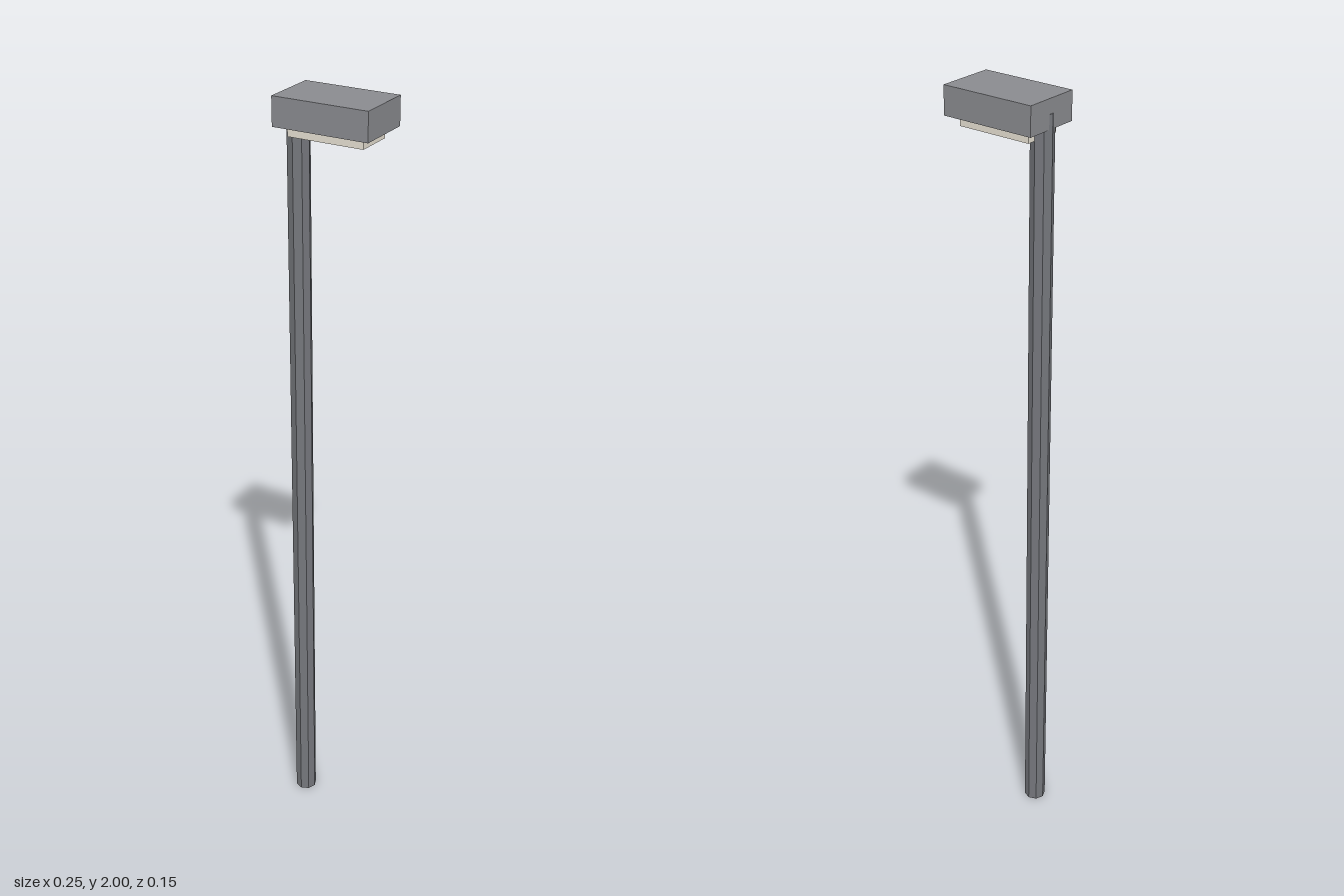
import * as THREE from 'three';

export function createModel() {
  const lamp = new THREE.Group();
  lamp.name = 'streetLamp';

  const add = (name, geometry, color, x, y) => {
    const material = new THREE.MeshStandardMaterial({ color, flatShading: true });
    const mesh = new THREE.Mesh(geometry, material);
    mesh.name = name;
    mesh.position.set(x, y, 0);
    lamp.add(mesh);
  };

  // Octagonal pole, reaching up into the lamp head
  const poleTop = 1.965;
  add('pole', new THREE.CylinderGeometry(0.028, 0.028, poleTop, 8), 0x75777c, -0.097, poleTop / 2);

  // Lamp head, offset to one side of the pole
  add('lampHead', new THREE.BoxGeometry(0.245, 0.07, 0.148), 0x8a8b8f, 0.001, 1.965);

  // Pale light panel under the head
  add('lightPanel', new THREE.BoxGeometry(0.195, 0.03, 0.099), 0xe6e0d2, 0.001, 1.92);

  return lamp;
}
